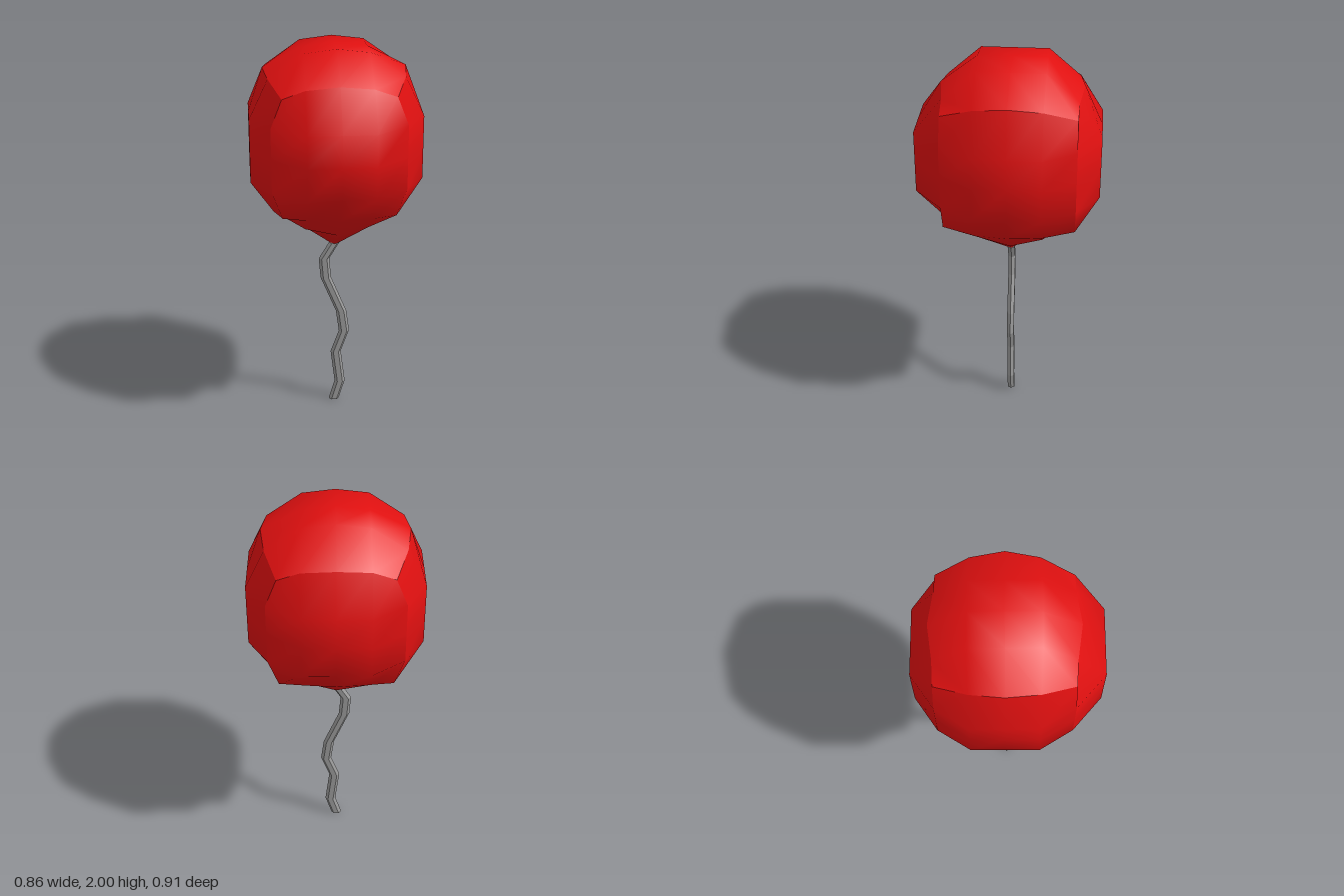
import * as THREE from 'three';

const red = new THREE.MeshStandardMaterial({ color: 0xe01010 });
red.name = 'balloonRed';
const grey = new THREE.MeshStandardMaterial({ color: 0x999999, flatShading: true });
grey.name = 'stringGrey';

// Place a grid point (each of i, j, k from -2 to 2) of a 4x4x4 box on the balloon skin.
function inflate(i, j, k) {
  const a = Math.abs(i), c = Math.abs(k), sx = Math.sign(i), sz = Math.sign(k);
  const shift = -0.014;
  if (Math.abs(j) < 2) {
    // Upright walls: a twelve-sided outline
    const y = 1.5 + j * 0.16;
    if (a === 2 && c === 2) return [sx * 0.33, y, sz * 0.327 + shift];
    return a === 2 ? [sx * 0.43, y, k * 0.165 + shift] : [i * 0.165, y, sz * 0.455];
  }
  const top = j > 0;
  if (a === 2 || c === 2) {
    // Rims where the walls meet the crown and the taper
    const n = Math.min(a, c);
    const r = top ? [0.357, 0.335, 0.275][n] : [0.33, 0.32, 0.28][n];
    const y = top ? [1.87, 1.85, 1.8][n] : [1.18, 1.185, 1.205][n];
    if (a === 2 && c === 2) return [sx * r, y, sz * 0.325 + shift];
    return a === 2 ? [sx * r, y + (top ? 0.01 : 0), k * 0.165 + shift]
      : [i * 0.165, y - (top ? 0.01 : 0), sz * (r - 0.007) + shift];
  }
  // Crown and pointed underside
  if (top) return [i * 0.162, a ? 1.98 : 2, k * 0.168 + shift];
  if (!a && !c) return [0, 0.925, shift / 2];
  const r = a && c ? 0.16 : 0.185;
  return [i * r, a && c ? 1.08 : 1.05, k * r + shift];
}

function balloonGeometry() {
  const g = new THREE.BoxGeometry(4, 4, 4, 4, 4, 4);
  const p = g.attributes.position;
  const bottomRim = new Map();
  for (let v = 0; v < p.count; v++) {
    const i = Math.round(p.getX(v)), j = Math.round(p.getY(v)), k = Math.round(p.getZ(v));
    if (j === -2) {
      const key = i + ',' + k;
      if (!bottomRim.has(key)) bottomRim.set(key, []);
      bottomRim.get(key).push(v);
    }
    p.setXYZ(v, ...inflate(i, j, k));
  }
  g.computeVertexNormals();
  // Walls keep crisp seams, but blend smoothly into the underside
  const n = g.attributes.normal;
  for (const group of bottomRim.values()) {
    const sum = new THREE.Vector3();
    for (const v of group) sum.add(new THREE.Vector3().fromBufferAttribute(n, v));
    sum.normalize();
    for (const v of group) n.setXYZ(v, sum.x, sum.y, sum.z);
  }
  return g;
}

function stringGeometry() {
  // Centre line as [x, y], from the foot to the knot
  const path = [[-0.003, 0], [0.03, 0.11], [0.008, 0.295], [0.053, 0.42],
    [0.037, 0.54], [-0.045, 0.74], [-0.054, 0.85], [0, 0.94]];
  const g = new THREE.CylinderGeometry(1, 1, path.length - 1, 6, path.length - 1, false, Math.PI / 2);
  const p = g.attributes.position;
  for (let v = 0; v < p.count; v++) {
    const [x, y] = path[Math.round(p.getY(v) + (path.length - 1) / 2)];
    p.setXYZ(v, x + p.getX(v) * 0.028, y, p.getZ(v) * 0.021 - 0.007);
  }
  g.computeVertexNormals();
  return g;
}

export function createModel() {
  const model = new THREE.Group();
  model.name = 'balloonOnString';
  const balloon = new THREE.Mesh(balloonGeometry(), red);
  balloon.name = 'balloon';
  const string = new THREE.Mesh(stringGeometry(), grey);
  string.name = 'string';
  model.add(balloon, string);
  return model;
}
